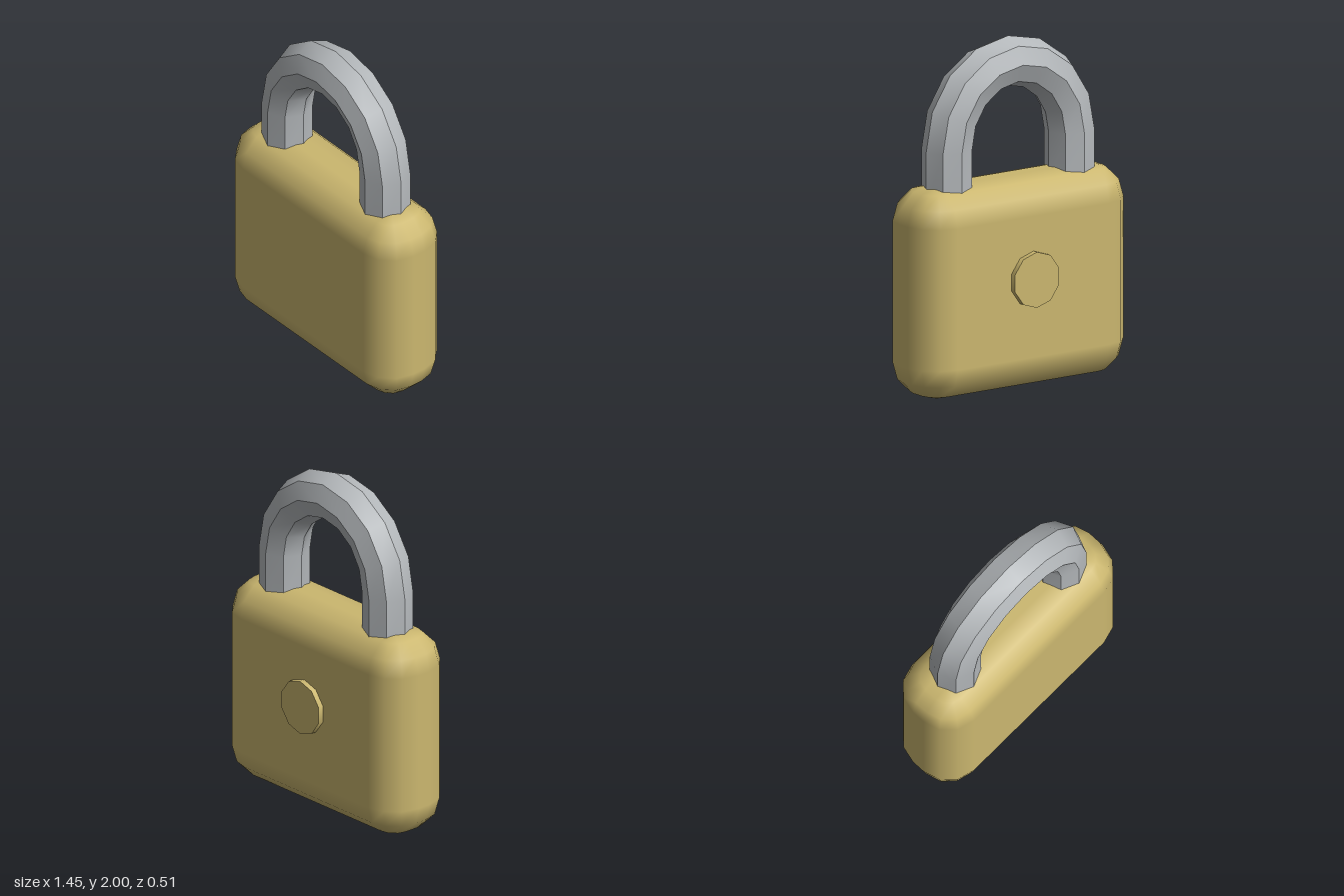
import * as THREE from 'three';
import { mergeGeometries } from 'three/addons/utils/BufferGeometryUtils.js';

const Z = 0.015; // depth of the body and shackle centre plane

// Surface through a grid of points: rows run "up", columns run "right" seen from outside
function gridSurface(rows, cols, pointAt, normalAt) {
  const pos = [], norm = [], index = [];
  for (let i = 0; i < rows; i++) {
    for (let j = 0; j < cols; j++) {
      pos.push(...pointAt(i, j));
      if (normalAt) norm.push(...normalAt(i, j));
      if (i < rows - 1 && j < cols - 1) {
        const a = i * cols + j, b = a + 1, d = a + cols, c = d + 1;
        index.push(a, b, c, a, c, d);
      }
    }
  }
  const g = new THREE.BufferGeometry();
  g.setAttribute('position', new THREE.Float32BufferAttribute(pos, 3));
  g.setIndex(index);
  if (normalAt) g.setAttribute('normal', new THREE.Float32BufferAttribute(norm, 3));
  else g.computeVertexNormals();
  return g;
}

// Box with ball corners, three bevel steps per quarter turn
function bevelledBox(w, h, d, r) {
  const core = [w / 2 - r, h / 2 - r, d / 2 - r];
  const deg = Math.PI / 180;
  const lats = [-90, -90, -60, -30, 0, 0, 30, 60, 90, 90];
  const direction = (i, j) => {
    const lat = lats[i] * deg;
    const lon = (Math.floor(j / 4) * 90 + (j % 4) * 30) * deg;
    return [Math.cos(lat) * Math.sin(lon), Math.sin(lat), Math.cos(lat) * Math.cos(lon)];
  };
  const point = (i, j) => {
    const q = Math.floor(j / 4) % 4;
    const spread = i === 0 || i === lats.length - 1 ? 0 : 1; // caps close on the axis
    const n = direction(i, j);
    return [
      (q < 2 ? 1 : -1) * core[0] * spread + n[0] * r,
      (i < 5 ? -1 : 1) * core[1] + n[1] * r,
      (q === 0 || q === 3 ? 1 : -1) * core[2] * spread + n[2] * r,
    ];
  };
  return gridSurface(lats.length, 17, point, direction);
}

// Octagonal bar bent into an arch, smooth along its length, creased between sides
function shackleGeometry() {
  const sides = 8, steps = 8, bar = 0.143, archX = 0.425, archY = 0.45, spring = 1.407, foot = 1.1;
  const strips = [];
  for (let s = 0; s < sides; s++) {
    strips.push(gridSurface(steps + 3, 2, (i, j) => {
      const step = Math.min(Math.max(i - 1, 0), steps);
      const t = step / steps * Math.PI;
      const phi = -(s + j) / sides * Math.PI * 2;
      const out = bar * Math.cos(phi);
      const isFoot = i === 0 || i === steps + 2;
      return [
        (archX + out) * Math.cos(t),
        isFoot ? foot : spring + (archY + out) * Math.sin(t),
        Z + bar * Math.sin(phi),
      ];
    }));
  }
  return mergeGeometries(strips);
}

export function createModel() {
  const brass = new THREE.MeshStandardMaterial({ name: 'brass', color: 0xcbb76f });
  const steel = new THREE.MeshStandardMaterial({ name: 'steel', color: 0xb4b8bb });
  const group = new THREE.Group();
  group.name = 'padlock';
  const add = (name, geometry, material) => {
    const mesh = new THREE.Mesh(geometry, material);
    mesh.name = name;
    group.add(mesh);
    return mesh;
  };

  // Body
  add('body', bevelledBox(1.45, 1.21, 0.48, 0.2), brass).position.set(0, 0.605, Z);

  // Shackle
  add('shackle', shackleGeometry(), steel);

  // Round keyhole plug on the back
  const plug = add('keyholePlug', new THREE.CylinderGeometry(0.16, 0.16, 0.06, 10), brass);
  plug.rotation.x = Math.PI / 2;
  plug.position.set(0, 0.65, -0.228);

  return group;
}
